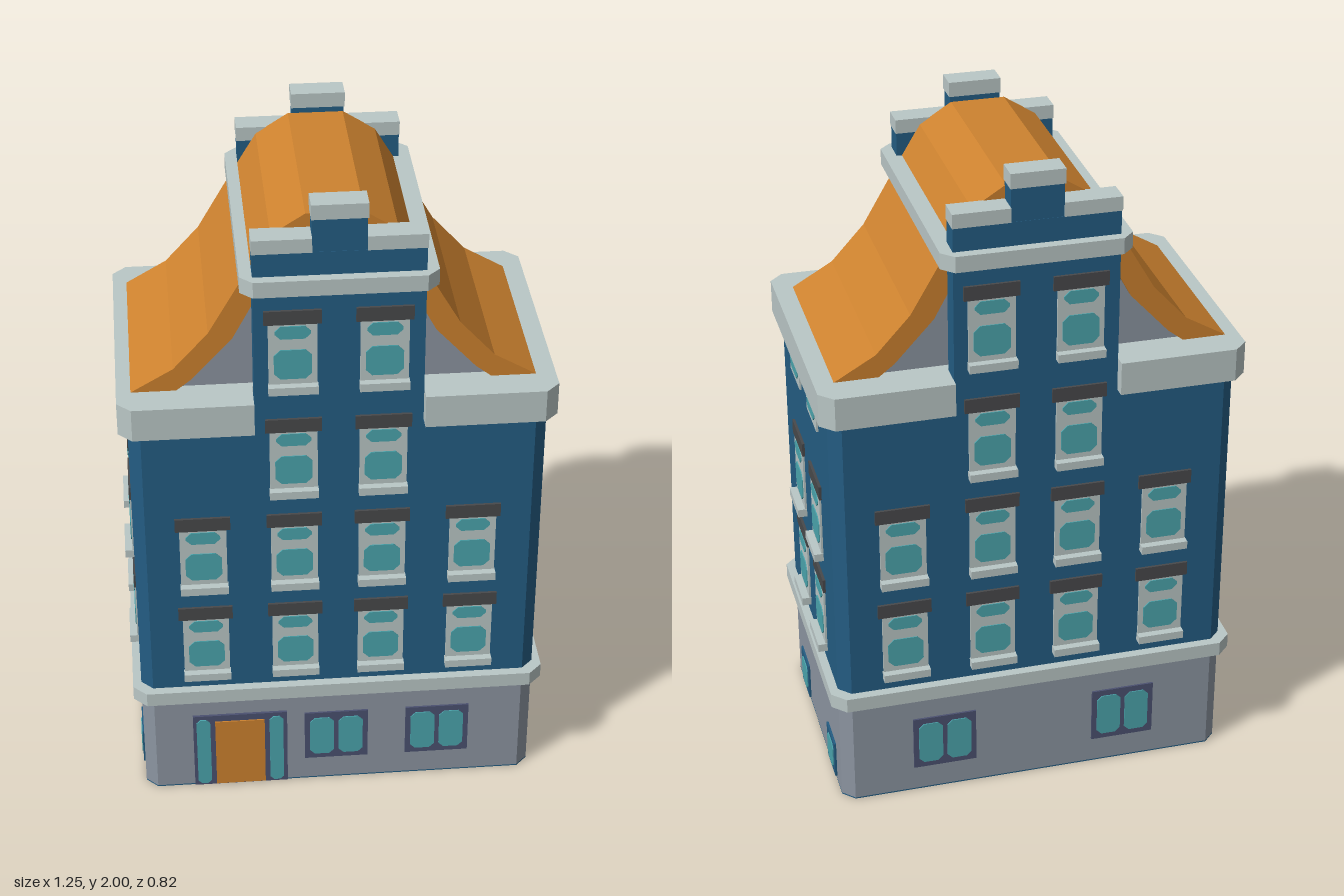
import * as THREE from 'three';

const mat = (name, color) => {
  const m = new THREE.MeshStandardMaterial({ color });
  m.name = name;
  return m;
};

export function createModel() {
  const blue = mat('blue wall', 0x245d83);
  const grey = mat('grey plaster', 0x8c95a1);
  const stone = mat('pale stone', 0xbac7c6);
  const glass = mat('teal glass', 0x4ba5ad);
  const dark = mat('dark lintel', 0x48494b);
  const plum = mat('plum frame', 0x4b5170);
  const orange = mat('orange tile', 0xcd822f);

  const model = new THREE.Group();
  model.name = 'gabledTownhouse';

  const add = (parent, name, geometry, material, x = 0, y = 0, z = 0) => {
    const mesh = new THREE.Mesh(geometry, material);
    mesh.name = name;
    mesh.position.set(x, y, z);
    parent.add(mesh);
    return mesh;
  };
  const box = (parent, name, material, x0, x1, y0, y1, z0, z1) =>
    add(parent, name, new THREE.BoxGeometry(x1 - x0, y1 - y0, z1 - z0), material,
      (x0 + x1) / 2, (y0 + y1) / 2, (z0 + z1) / 2);
  const extrude = (points, depth) => new THREE.ExtrudeGeometry(
    new THREE.Shape(points.map(([x, y]) => new THREE.Vector2(x, y))), { depth, bevelEnabled: false });
  // Rectangle with cut corners, given by half sizes
  const octagon = (w, h, c) => [[w, -h + c], [w, h - c], [w - c, h], [-w + c, h],
    [-w, h - c], [-w, -h + c], [-w + c, -h], [w - c, -h]];
  // Horizontal slab from a plan outline
  const slab = (name, material, outline, y0, y1) =>
    add(model, name, extrude(outline, y1 - y0).rotateX(-Math.PI / 2), material, 0, y0, 0);

  // Walls and cornices
  const plan = octagon(0.595, 0.38, 0.035);
  slab('foundation', blue, plan, 0, 0.004);
  slab('groundFloor', grey, plan, 0.004, 0.345);
  slab('upperFloors', blue, plan, 0.39, 1.3);
  slab('lowerCornice', stone, octagon(0.62, 0.408, 0.04), 0.345, 0.39);
  const W = 0.622, D = 0.41, C = 0.04, G = 0.24, N = 0.312;
  slab('eavesCornice', stone, [
    [W, -D + C], [W, D - C], [W - C, D], [G, D], [G, N], [-G, N], [-G, D], [-W + C, D],
    [-W, D - C], [-W, -D + C], [-W + C, -D], [-G, -D], [-G, -N], [G, -N], [G, -D], [W - C, -D],
  ], 1.3, 1.4);
  slab('gableCornice', stone, octagon(0.273, 0.41, 0.035), 1.74, 1.788);

  // Stepped gables, front and back
  for (const s of [1, -1]) {
    const gable = new THREE.Group();
    gable.name = s > 0 ? 'frontGable' : 'backGable';
    gable.rotation.y = s > 0 ? 0 : Math.PI;
    model.add(gable);
    box(gable, 'gableWall', blue, -0.238, 0.238, 1.3, 1.858, 0.312, 0.38);
    box(gable, 'gableTop', blue, -0.075, 0.075, 1.858, 1.956, 0.312, 0.379);
    box(gable, 'topCap', stone, -0.078, 0.078, 1.956, 2, 0.31, 0.383);
    for (const m of [1, -1]) {
      const [a, b] = m > 0 ? [0.075, 0.24] : [-0.24, -0.075];
      box(gable, 'stepCap', stone, a, b, 1.858, 1.9, 0.31, 0.383);
    }
  }

  // Curved roof shell with a plaster infill
  const mirrored = (half) => [...half, ...half.map(([x, y]) => [-x, y]).reverse()];
  const outer = mirrored([[0.573, 1.4], [0.452, 1.47], [0.352, 1.58], [0.25, 1.755], [0.175, 1.88], [0.08, 1.94]]);
  const inner = mirrored([[0.445, 1.4], [0.4, 1.435], [0.285, 1.56], [0.22, 1.68], [0.15, 1.8], [0.07, 1.87]]);
  add(model, 'roof', extrude([...outer, ...inner.slice().reverse()], 0.626), orange, -0.008, 0, -0.313);
  add(model, 'roofInfill', extrude(inner, 0.58), grey, -0.008, 0, -0.29);

  // Facade details: x runs along the wall, z = 0 is the wall surface
  const facade = (name, angle, distance) => {
    const g = new THREE.Group();
    g.name = name;
    g.rotation.y = angle;
    g.position.set(Math.sin(angle) * distance, 0, Math.cos(angle) * distance);
    model.add(g);
    return g;
  };
  const pane = (g, x, y0, y1, w, c, z = 0.009) =>
    add(g, 'pane', extrude(octagon(w / 2, (y1 - y0) / 2, c), 0.004), glass, x, (y0 + y1) / 2, z - 0.004);

  const sashWindow = (g, x, y) => {
    const w = new THREE.Group();
    w.name = 'sashWindow';
    w.position.set(x, y, 0);
    g.add(w);
    box(w, 'frame', stone, -0.068, 0.068, 0.025, 0.215, -0.004, 0.006);
    box(w, 'lintel', dark, -0.08, 0.08, 0.215, 0.258, -0.004, 0.008);
    box(w, 'sill', stone, -0.07, 0.07, 0, 0.025, -0.004, 0.028);
    pane(w, 0, 0.042, 0.135, 0.106, 0.018);
    pane(w, 0, 0.17, 0.21, 0.1, 0.016);
  };
  const doubleWindow = (g, x) => {
    box(g, 'doubleWindowFrame', plum, x - 0.097, x + 0.097, 0.085, 0.262, -0.004, 0.006);
    for (const s of [-1, 1]) pane(g, x + s * 0.044, 0.103, 0.243, 0.074, 0.015);
  };

  const front = facade('frontFacade', 0, 0.38);
  const back = facade('backFacade', Math.PI, 0.38);
  for (const g of [front, back]) {
    for (const y of [0.43, 0.75]) for (const x of [-0.395, -0.13, 0.125, 0.39]) sashWindow(g, x, y);
    for (const y of [1.075, 1.425]) for (const x of [-0.13, 0.125]) sashWindow(g, x, y);
  }
  doubleWindow(front, -0.007);
  doubleWindow(front, 0.303);
  doubleWindow(back, -0.28);
  doubleWindow(back, 0.28);

  // Entrance with side lights
  box(front, 'doorSurround', plum, -0.445, -0.158, 0.004, 0.275, -0.004, 0.008);
  box(front, 'door', orange, -0.378, -0.227, 0.008, 0.253, 0.002, 0.012);
  for (const x of [-0.414, -0.191]) pane(front, x, 0.012, 0.262, 0.042, 0.012, 0.012);

  // Side walls
  for (const s of [1, -1]) {
    const g = facade(s > 0 ? 'leftFacade' : 'rightFacade', s * Math.PI / 2, 0.595);
    for (const x of [-0.13, 0.13]) {
      for (const y of [0.43, 0.75]) sashWindow(g, x, y);
      box(g, 'atticFrame', stone, x - 0.073, x + 0.073, 1.188, 1.302, -0.004, 0.006);
      pane(g, x, 1.21, 1.302, 0.108, 0.014);
    }
    for (const x of [-0.21, 0.213]) {
      box(g, 'cellarFrame', blue, x - 0.06, x + 0.06, 0.014, 0.134, -0.004, 0.006);
      pane(g, x, 0.03, 0.116, 0.086, 0.014);
    }
  }
  return model;
}
